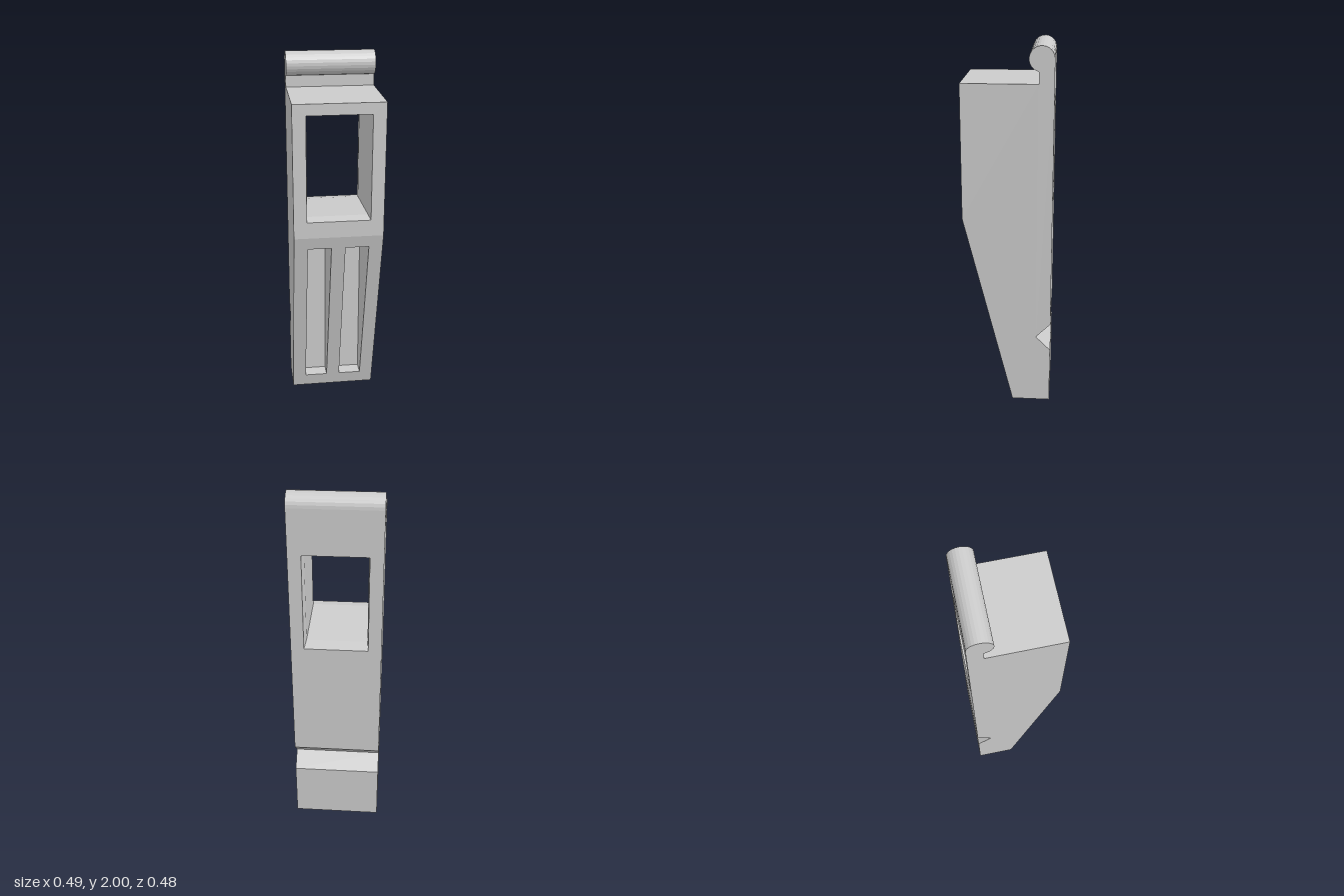
import * as THREE from 'three';

const W = 0.24; // half width and half depth
const material = new THREE.MeshStandardMaterial({ color: 0xcccccc, flatShading: true });

// Build a mesh from quads; corners run counterclockwise seen from outside
function quadMesh(name, quads) {
  const pos = quads.flatMap(([a, b, c, d]) => [a, b, c, a, c, d].flat());
  const geo = new THREE.BufferGeometry();
  geo.setAttribute('position', new THREE.Float32BufferAttribute(pos, 3));
  geo.computeVertexNormals();
  const mesh = new THREE.Mesh(geo, material);
  mesh.name = name;
  return mesh;
}

function flip(geo) {
  const idx = geo.index.array;
  for (let i = 0; i < idx.length; i += 3) [idx[i], idx[i + 1]] = [idx[i + 1], idx[i]];
  geo.computeVertexNormals();
}

const rect = (x0, x1, y0, y1) => [[x0, y0], [x1, y0], [x1, y1], [x0, y1]];
const toPoints = (list) => list.map(([x, y]) => new THREE.Vector2(x, y));

// Flat panel with rectangular holes, placed in depth by a rule z(y)
function panel(name, y0, y1, zOf, holes, back = false) {
  const shape = new THREE.Shape(toPoints(rect(-W, W, y0, y1)));
  for (const h of holes) shape.holes.push(new THREE.Path(toPoints(h)));
  const geo = new THREE.ShapeGeometry(shape);
  const p = geo.attributes.position;
  for (let i = 0; i < p.count; i++) p.setZ(i, zOf(p.getY(i)));
  geo.computeVertexNormals();
  if (back) flip(geo);
  const mesh = new THREE.Mesh(geo, material);
  mesh.name = name;
  return mesh;
}

// Inward-facing lining through rings of four corners, front to back
function lining(name, rings, closed) {
  const quads = [];
  for (let r = 0; r < rings.length - 1; r++) {
    const f = rings[r], b = rings[r + 1];
    for (let i = 0; i < 4; i++) {
      const j = (i + 1) % 4;
      quads.push([f[i], f[j], b[j], b[i]]);
    }
  }
  if (closed) quads.push(rings[rings.length - 1]);
  return quadMesh(name, quads);
}

export function createModel() {
  const group = new THREE.Group();
  group.name = 'clip';

  // Side profile as (z, y), counterclockwise
  const lower = [[-W, 0], [-0.03, 0], [W, 1.09], [W, 1.81], [-0.16, 1.81]];
  const bead = [];
  const start = -Math.acos(0.015 / 0.065), steps = 18;
  for (let i = 0; i <= steps; i++) {
    const a = start + ((Math.PI - start) * i) / steps;
    bead.push([-0.175 + 0.065 * Math.cos(a), 1.935 + 0.065 * Math.sin(a)]);
  }
  const notch = [[-W, 0.48], [-0.16, 0.4], [-W, 0.32]];
  const profile = [...lower, ...bead, ...notch];

  // Side walls
  for (const side of [-1, 1]) {
    const geo = new THREE.ShapeGeometry(new THREE.Shape(toPoints(profile)));
    geo.rotateY(-Math.PI / 2);
    geo.translate(side * W, 0, 0);
    if (side > 0) flip(geo);
    const wall = new THREE.Mesh(geo, material);
    wall.name = side > 0 ? 'leftWall' : 'rightWall';
    group.add(wall);
  }

  // Surfaces swept straight across the width
  const sweep = (name, pts) => {
    const quads = [];
    for (let i = 0; i < pts.length - 1; i++) {
      const [pz, py] = pts[i], [qz, qy] = pts[i + 1];
      quads.push([[-W, py, pz], [W, py, pz], [W, qy, qz], [-W, qy, qz]]);
    }
    group.add(quadMesh(name, quads));
  };
  sweep('base', lower.slice(0, 2));
  sweep('topShelf', lower.slice(3));
  sweep('hookBead', [lower[4], ...bead]);
  sweep('backNotch', [...notch, lower[0]]);

  // Front and back panels with their openings
  const slopeZ = (y) => -0.03 + (0.27 / 1.09) * y;
  const slots = [rect(-0.165, -0.038, 0.08, 1.02), rect(0.038, 0.165, 0.08, 1.02)];
  const frontOpening = rect(-0.17, 0.17, 1.18, 1.75);
  const backOpening = rect(-0.17, 0.17, 1.15, 1.69);
  group.add(panel('frontPanel', 1.09, 1.81, () => W, [frontOpening]));
  group.add(panel('slopedPanel', 0, 1.09, slopeZ, slots));
  group.add(panel('backPanel', 0.48, 1.935, () => -W, [backOpening], true));

  // Window tunnel, slightly narrowed between its two mouths
  const ring = (corners, zOf) => corners.map(([x, y]) => [x, y, zOf(y)]);
  group.add(lining('windowTunnel', [
    ring(frontOpening, () => W),
    ring(rect(-0.163, 0.163, 1.19, 1.735), () => 0.18),
    ring(rect(-0.163, 0.163, 1.165, 1.7), () => -0.17),
    ring(backOpening, () => -W),
  ], false));

  // Two long pockets in the sloped face
  slots.forEach((s, i) => group.add(lining(i ? 'leftPocket' : 'rightPocket',
    [ring(s, slopeZ), ring(s, () => -0.09)], true)));

  // Slight lean
  group.rotation.z = -0.003;
  group.position.x = -0.003;
  return group;
}
